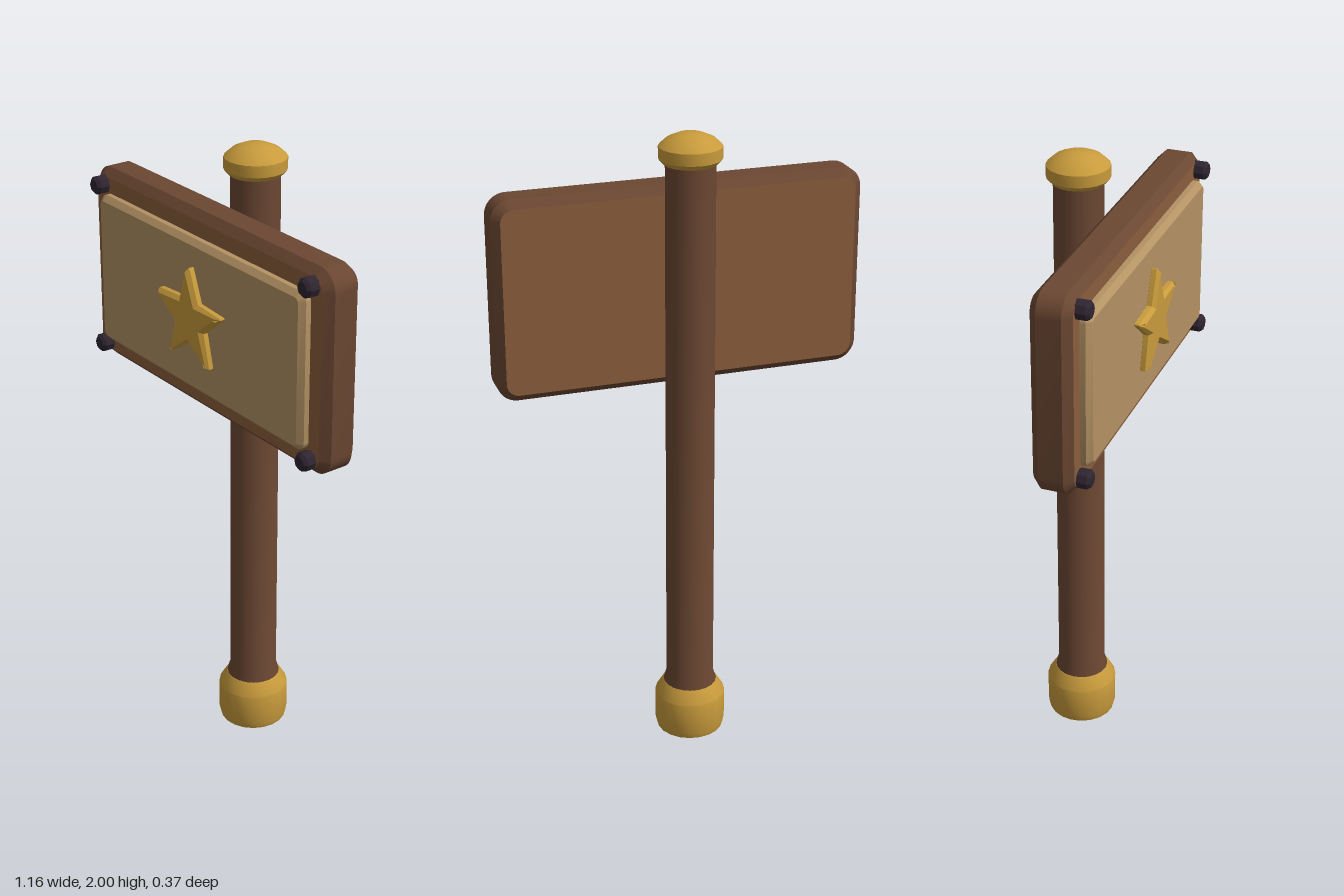
import * as THREE from 'three';
import { toCreasedNormals } from 'three/addons/utils/BufferGeometryUtils.js';

const material = (name, color) => {
  const m = new THREE.MeshStandardMaterial({ color });
  m.name = name;
  return m;
};

const POLE_Z = -0.072;
const SIGN_Y = 1.505;

// Turned part around the pole axis, profile listed from bottom to top
function turned(profile) {
  const points = profile.map(([r, y]) => new THREE.Vector2(r, y));
  return toCreasedNormals(new THREE.LatheGeometry(points, 20), 0.55);
}

function roundedRect(w, h, r) {
  const x = w / 2, y = h / 2;
  const s = new THREE.Shape();
  s.moveTo(-x + r, -y);
  s.lineTo(x - r, -y);
  s.absarc(x - r, -y + r, r, -Math.PI / 2, 0);
  s.lineTo(x, y - r);
  s.absarc(x - r, y - r, r, 0, Math.PI / 2);
  s.lineTo(-x + r, y);
  s.absarc(-x + r, y - r, r, Math.PI / 2, Math.PI);
  s.lineTo(-x, -y + r);
  s.absarc(-x + r, -y + r, r, Math.PI, Math.PI * 1.5);
  return s;
}

// Five-pointed star with softened tips
function starShape(outer, inner) {
  const at = (i) => {
    const a = Math.PI / 2 + (i * Math.PI) / 5;
    const r = i % 2 ? inner : outer;
    return new THREE.Vector2(Math.cos(a) * r, Math.sin(a) * r);
  };
  const s = new THREE.Shape();
  for (let i = 0; i < 10; i += 2) {
    const tip = at(i), next = at(i + 1);
    const a = tip.clone().lerp(at(i + 9), 0.13);
    const b = tip.clone().lerp(next, 0.13);
    if (i === 0) s.moveTo(a.x, a.y);
    else s.lineTo(a.x, a.y);
    s.quadraticCurveTo(tip.x, tip.y, b.x, b.y);
    s.lineTo(next.x, next.y);
  }
  return s;
}

// Chamfered slab between two depths; the shape is its outer outline
function slab(shape, back, front, bevel, curveSegments) {
  const g = new THREE.ExtrudeGeometry(shape, {
    depth: front - back - 2 * bevel,
    bevelThickness: bevel, bevelSize: bevel, bevelOffset: -bevel,
    bevelSegments: 1, curveSegments,
  });
  g.translate(0, 0, back + bevel);
  return toCreasedNormals(g, 0.55);
}

export function createModel() {
  const darkWood = material('dark wood', 0x6b4732);
  const wood = material('wood', 0x8b5e3c);
  const paleWood = material('pale wood', 0xb49264);
  const gold = material('gold', 0xc89b3c);
  const iron = material('dark iron', 0x2e2530);

  const model = new THREE.Group();
  model.name = 'signpost';
  const add = (name, geometry, mat, x = 0, y = 0, z = 0) => {
    const mesh = new THREE.Mesh(geometry, mat);
    mesh.name = name;
    mesh.position.set(x, y, z);
    model.add(mesh);
    return mesh;
  };

  // Pole with a slight flare above its foot
  add('pole', turned([[0, 0.1], [0.086, 0.1], [0.086, 0.168], [0.076, 0.2],
    [0.075, 1.92], [0, 1.92]]), darkWood, 0, 0, POLE_Z);

  // Metal foot and domed cap
  add('foot', turned([[0, 0], [0.107, 0], [0.113, 0.022], [0.113, 0.125],
    [0.087, 0.168], [0, 0.168]]), gold, 0, 0, POLE_Z);
  add('cap', turned([[0, 1.908], [0.08, 1.908], [0.095, 1.924], [0.095, 1.96],
    [0.072, 1.981], [0.04, 1.995], [0, 2]]), gold, 0, 0, POLE_Z);

  // Board: lighter faces, darker edges
  add('board', slab(roundedRect(1.16, 0.632, 0.065), -0.002, 0.123, 0.025, 5),
    [wood, darkWood], 0, SIGN_Y);

  // Raised panel and star
  add('panel', slab(roundedRect(1.015, 0.485, 0.03), 0.1, 0.156, 0.016, 4), paleWood, 0, SIGN_Y);
  add('star', slab(starShape(0.17, 0.074), 0.145, 0.184, 0.012, 3), gold, 0, SIGN_Y);

  // Corner bolts
  const boltGeometry = new THREE.LatheGeometry(
    [[0, 0], [0.03, 0], [0.03, 0.046], [0.021, 0.056], [0, 0.056]]
      .map(([r, y]) => new THREE.Vector2(r, y)), 8).toNonIndexed();
  boltGeometry.computeVertexNormals();
  boltGeometry.rotateX(Math.PI / 2);
  for (const sx of [-1, 1]) {
    for (const sy of [-1, 1]) {
      add('bolt', boltGeometry, iron, sx * 0.516, SIGN_Y + sy * 0.266, 0.107);
    }
  }
  return model;
}
